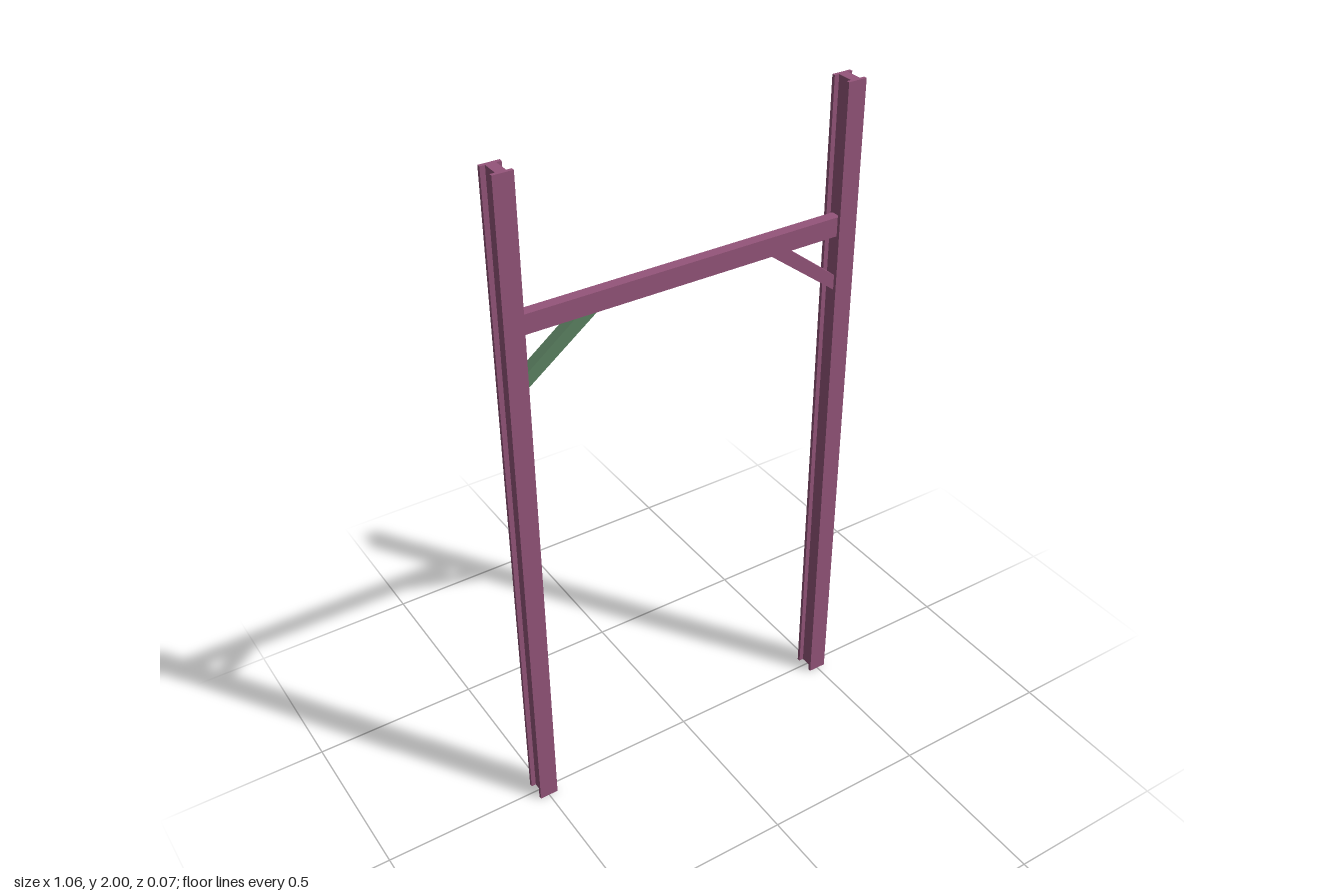
import * as THREE from 'three';

const plum = new THREE.MeshStandardMaterial({ color: 0x94557a });
const green = new THREE.MeshStandardMaterial({ color: 0x5c8262 });

// Extrudes an outline of [x, y] points, centred on its depth
function extrude(points, depth, material, name) {
  const shape = new THREE.Shape(points.map(([x, y]) => new THREE.Vector2(x, y)));
  const geometry = new THREE.ExtrudeGeometry(shape, { depth, bevelEnabled: false });
  geometry.translate(0, 0, -depth / 2);
  const mesh = new THREE.Mesh(geometry, material);
  mesh.name = name;
  return mesh;
}

export function createModel() {
  const model = new THREE.Group();
  model.name = 'portalFrame';

  // I-section of the posts: flanges face front and back
  const w = 0.028, web = 0.014, d = 0.034, inner = 0.024;
  const section = [
    [-w, -d], [w, -d], [w, -inner], [web, -inner], [web, inner], [w, inner],
    [w, d], [-w, d], [-w, inner], [-web, inner], [-web, -inner], [-w, -inner],
  ];
  const thickness = 0.032;

  for (const side of [-1, 1]) {
    const name = side > 0 ? 'left' : 'right';

    const post = extrude(section, 2, plum, name + 'Post');
    post.rotation.x = -Math.PI / 2;
    post.position.set(side * 0.5, 1, 0);
    model.add(post);

    // Knee brace cut flush to the post web and the beam underside
    const outline = [[0.486, 1.397], [0.486, 1.441], [0.327, 1.564], [0.265, 1.564]];
    model.add(extrude(outline.map(([x, y]) => [side * x, y]), thickness,
      side < 0 ? green : plum, name + 'Brace'));
  }

  // Cross beam between the post webs
  const beam = new THREE.Mesh(new THREE.BoxGeometry(0.972, 0.056, thickness), plum);
  beam.name = 'crossBeam';
  beam.position.y = 1.592;
  model.add(beam);

  return model;
}
